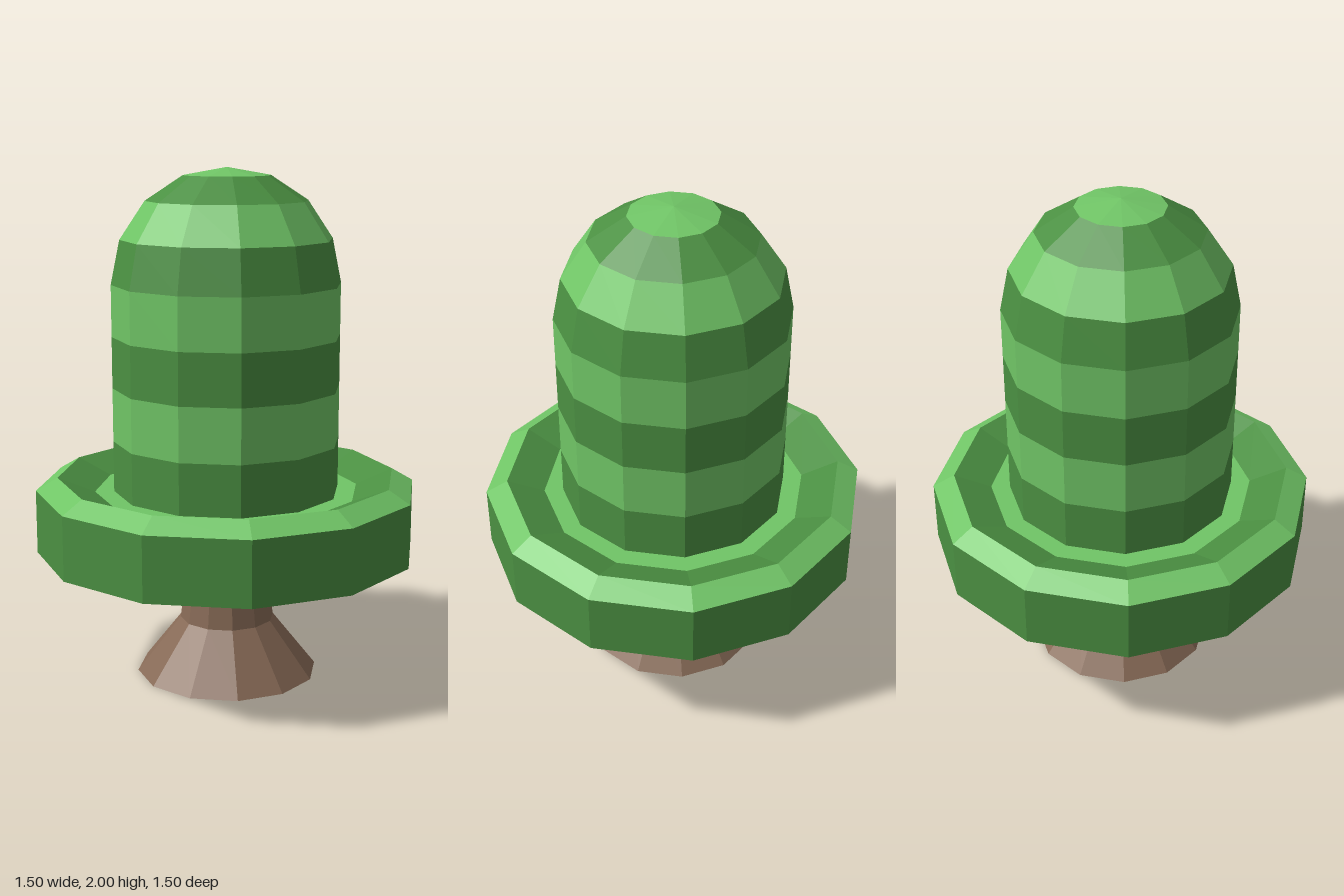
import * as THREE from 'three';

const SIDES = 12;

function material(name, color) {
  const m = new THREE.MeshStandardMaterial({ color });
  m.name = name;
  return m;
}

// Faceted ring surface through [radius, height] points, listed so that faces point outward
function turned(name, points, mat) {
  const profile = points.map(([r, y]) => new THREE.Vector2(r, y));
  const geometry = new THREE.LatheGeometry(profile, SIDES).toNonIndexed();
  geometry.computeVertexNormals();
  const mesh = new THREE.Mesh(geometry, mat);
  mesh.name = name;
  return mesh;
}

export function createModel() {
  const light = material('light green', 0x70c566);
  const dark = material('dark green', 0x4b9042);
  const brown = material('bark brown', 0x876a56);

  const model = new THREE.Group();
  model.name = 'stylisedTree';

  // Flared trunk, running up into the hollow under the brim
  model.add(turned('trunk', [[0, 0], [0.36, 0], [0.187, 0.22], [0.155, 0.47], [0.13, 0.72]], brown));

  // Brim: hollow underside, thick outer wall, bevelled lip and shallow dish
  const brim = new THREE.Group();
  brim.name = 'brim';
  brim.add(
    turned('brimUnderside', [[0, 0.73], [0.54, 0.47], [0.75, 0.51]], dark),
    turned('brimWall', [[0.75, 0.51], [0.75, 0.76]], dark),
    turned('brimLip', [[0.75, 0.76], [0.665, 0.81]], light),
    turned('brimDish', [[0.665, 0.81], [0.52, 0.75]], dark),
    turned('brimLedge', [[0.52, 0.75], [0.4, 0.75]], light),
  );
  model.add(brim);

  // Domed crown in alternating bands
  const crown = new THREE.Group();
  crown.name = 'crown';
  const rings = [
    [0.445, 0.75], [0.445, 0.95], [0.445, 1.16], [0.445, 1.36], [0.445, 1.56],
    [0.41, 1.73], [0.313, 1.875], [0.168, 1.97], [0, 2],
  ];
  for (let i = 0; i < rings.length - 1; i++) {
    crown.add(turned(`crownBand${i + 1}`, [rings[i], rings[i + 1]], i % 2 ? light : dark));
  }
  model.add(crown);

  return model;
}
